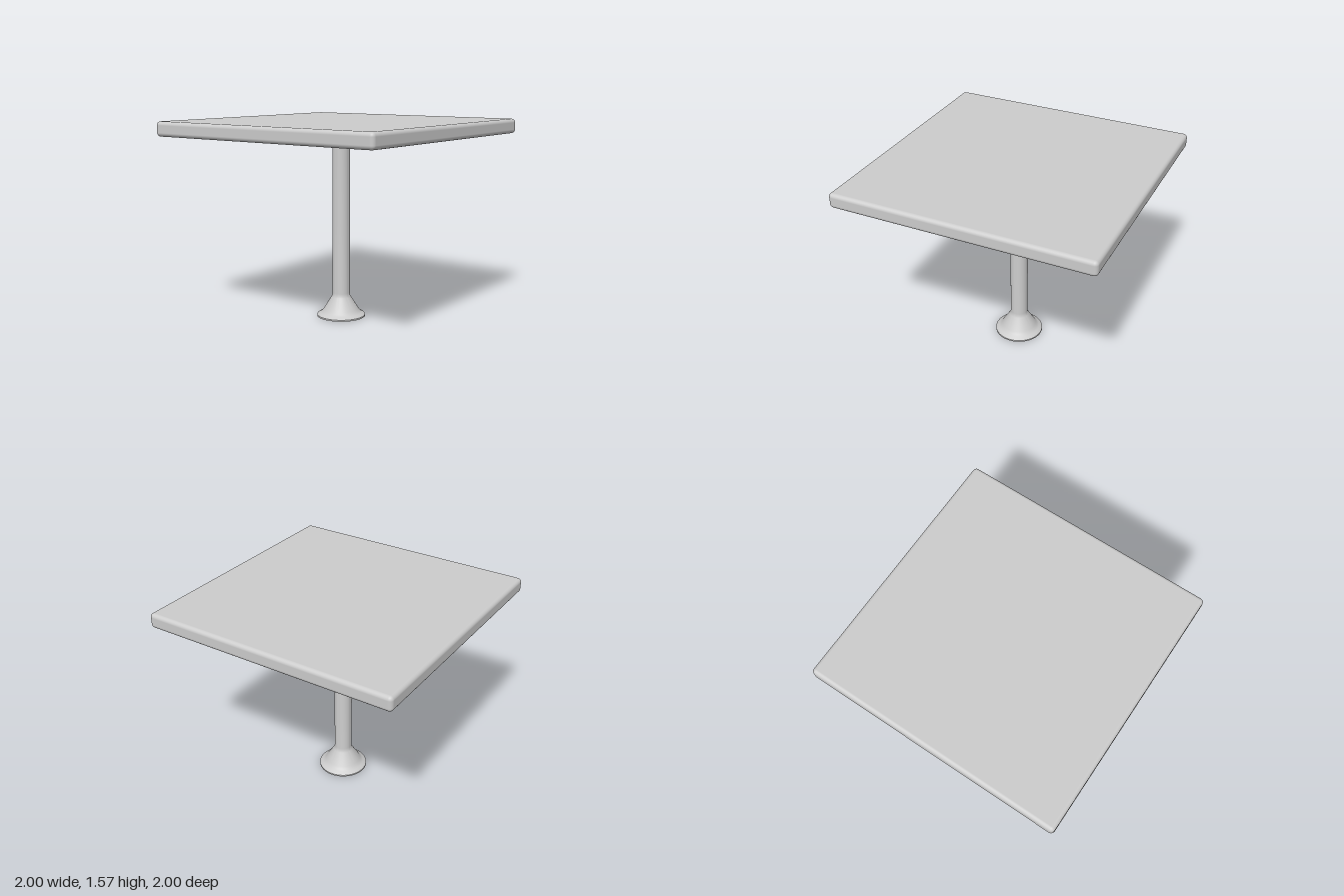
import * as THREE from 'three';
import { RoundedBoxGeometry } from 'three/addons/geometries/RoundedBoxGeometry.js';
import { toCreasedNormals } from 'three/addons/utils/BufferGeometryUtils.js';

export function createModel() {
  const group = new THREE.Group();
  const material = new THREE.MeshStandardMaterial({ color: 0xcccccc });

  const add = (name, geometry, y = 0) => {
    const mesh = new THREE.Mesh(geometry, material);
    mesh.name = name;
    mesh.position.y = y;
    group.add(mesh);
  };

  // square slab with softly rounded edges
  const topY = 1.565, bottomY = 1.45;
  add('tabletop', new RoundedBoxGeometry(2, topY - bottomY, 2, 4, 0.03), (topY + bottomY) / 2);

  // column and flared foot turned as one profile, closed underneath
  const profile = [
    [0, 0], [0.193, 0], [0.193, 0.012], [0.184, 0.02], [0.166, 0.028],
    [0.15, 0.042], [0.138, 0.06], [0.078, 0.155], [0.071, 0.17],
    [0.069, 0.19], [0.069, bottomY + 0.02],
  ].map(([r, y]) => new THREE.Vector2(r, y));
  add('pedestal', toCreasedNormals(new THREE.LatheGeometry(profile, 48), 0.7));

  return group;
}
